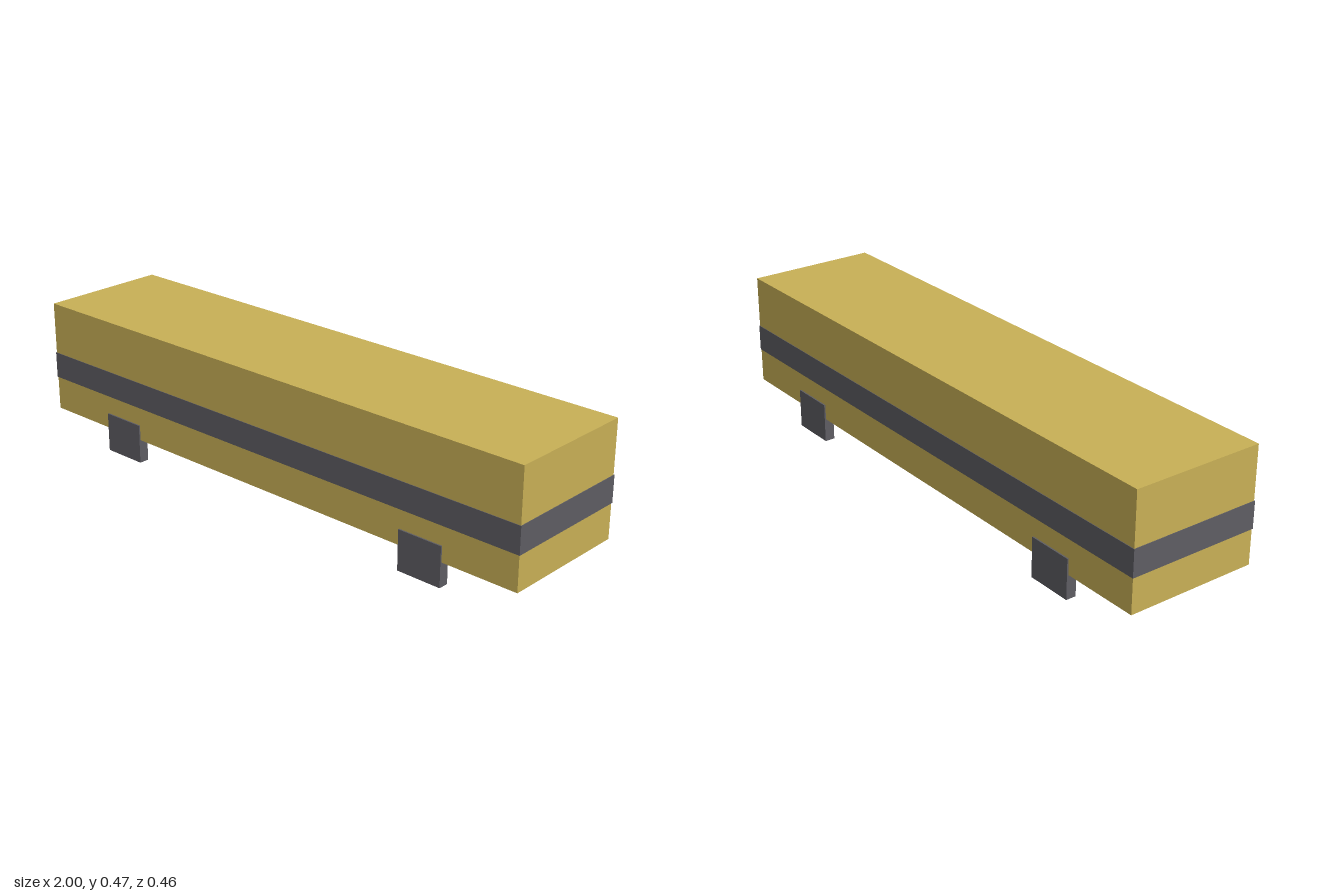
import * as THREE from 'three';

const yellow = new THREE.MeshStandardMaterial({ color: 0xc8b056 });
const dark = new THREE.MeshStandardMaterial({ color: 0x5e5d63 });

// Box given by its size, centre x and z, and its bottom height
function box(name, material, [w, h, d], [x, bottom, z]) {
  const mesh = new THREE.Mesh(new THREE.BoxGeometry(w, h, d), material);
  mesh.position.set(x, bottom + h / 2, z);
  mesh.name = name;
  return mesh;
}

export function createModel() {
  const model = new THREE.Group();
  model.name = 'railCar';

  // Long body with a slightly proud band all round
  model.add(box('body', yellow, [1.996, 0.389, 0.454], [0, 0.082, 0]));
  model.add(box('band', dark, [2, 0.091, 0.458], [0, 0.2, 0]));

  // Four block wheels, partly sunk into the body sides
  for (const [sideX, xName] of [[1, 'left'], [-1, 'right']]) {
    for (const [sideZ, zName] of [[1, 'Front'], [-1, 'Back']]) {
      model.add(box(xName + zName + 'Wheel', dark, [0.16, 0.136, 0.035],
        [sideX * 0.65, 0, sideZ * 0.2145]));
    }
  }
  return model;
}
